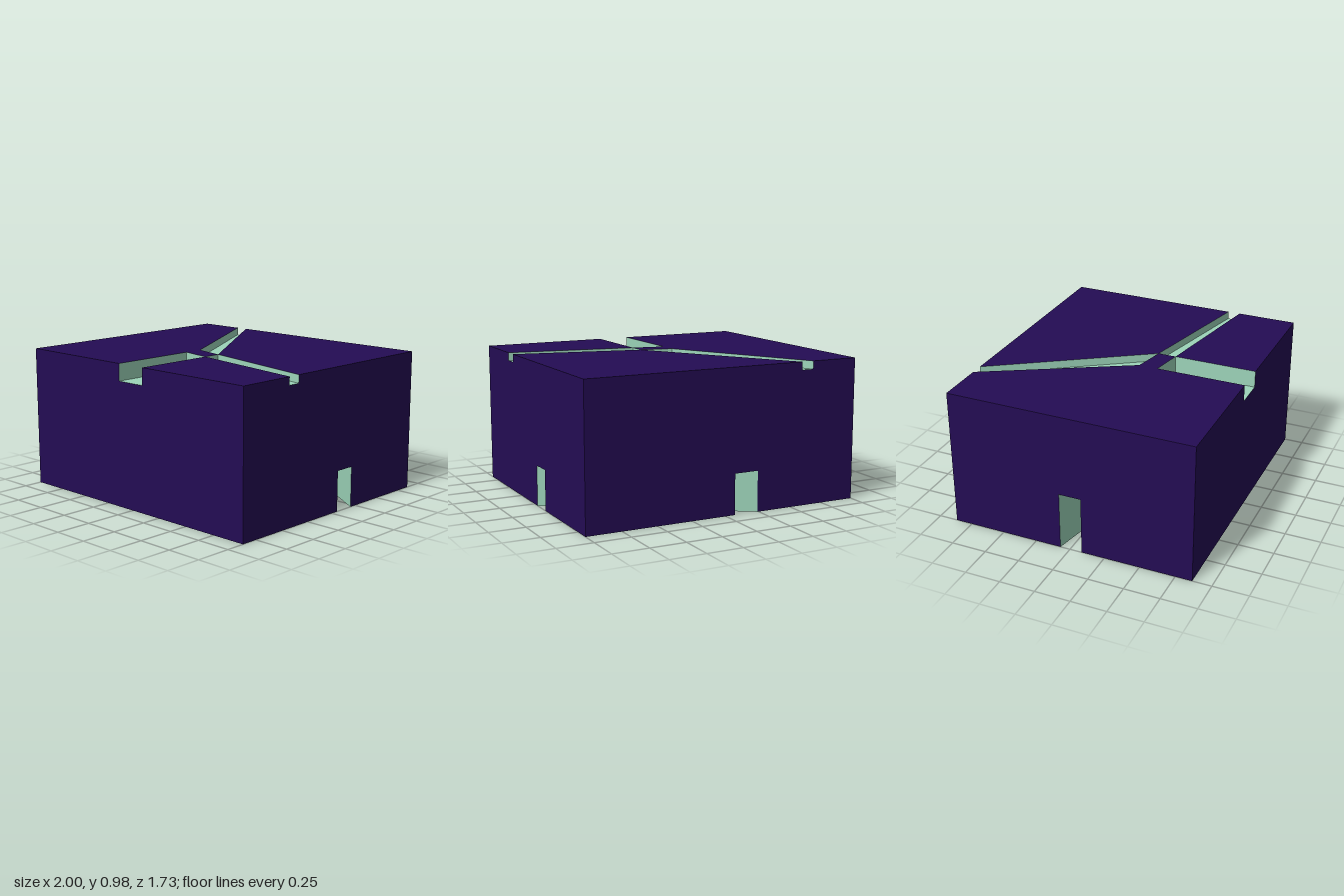
import * as THREE from 'three';

const H = 0.983, D = 0.867; // block height and half depth

const bodyMat = new THREE.MeshStandardMaterial({ color: 0x240c54 });
bodyMat.name = 'deepPurple';
const channelMat = new THREE.MeshStandardMaterial({ color: 0x9dd5ba });
channelMat.name = 'paleGreen';

const flat = (pts) => new THREE.ShapeGeometry(new THREE.Shape(pts.map(([a, b]) => new THREE.Vector2(a, b))));

// Horizontal face from [x, z] corners, looking up or down
function level(pts, y, up) {
  const g = flat(pts.map(([x, z]) => [x, up ? -z : z]));
  return g.rotateX(up ? -Math.PI / 2 : Math.PI / 2).translate(0, y, 0);
}

// Upright face from a to b ([x, z]); its front is on the right of the path a -> b seen from above
function upright([ax, az], [bx, bz], y0, y1) {
  const g = new THREE.BufferGeometry();
  g.setAttribute('position', new THREE.Float32BufferAttribute(
    [ax, y0, az, bx, y0, bz, bx, y1, bz, ax, y1, az], 3));
  g.setIndex([0, 1, 2, 0, 2, 3]);
  g.computeVertexNormals();
  return g;
}

// Side face with rectangular notches: [start, end, y] along the face, cut from top or bottom
function side(half, topCuts, bottomCuts, turn, dist) {
  const pts = [[-half, 0]];
  for (const [a, b, y] of bottomCuts) pts.push([a, 0], [a, y], [b, y], [b, 0]);
  pts.push([half, 0], [half, H]);
  for (const [a, b, y] of topCuts) pts.push([b, H], [b, y], [a, y], [a, H]);
  pts.push([-half, H]);
  return flat(pts).translate(0, 0, dist).rotateY(turn);
}

// Channels: four corners, walls between them, and the level of the closed face
const channels = [
  { name: 'frontTopChannel', y: 0.865, top: true, pts: [[-0.112, D], [-0.112, 0.245], [0.112, 0.288], [0.112, D]] },
  { name: 'rightTopChannel', y: 0.928, top: true, pts: [[1, 0.447], [0.112, 0.288], [0.112, 0.162], [1, 0.36]] },
  { name: 'backTopChannel', y: 0.928, top: true, pts: [[-0.573, -D], [0.112, 0.162], [-0.112, 0.112], [-0.66, -D]] },
  { name: 'leftBottomChannel', y: 0.41, top: false, pts: [[-1, -0.07], [-0.112, 0.112], [-0.112, 0.245], [-1, 0.086]] },
  { name: 'diagonalBottomChannel', y: 0.28, top: false, through: true, pts: [[1, -0.057], [-0.24, -D], [-0.067, -D], [1, -0.203]] },
];

export function createModel() {
  const model = new THREE.Group();
  model.name = 'channelBlock';
  const add = (parent, name, geo, mat) => {
    const m = new THREE.Mesh(geo, mat);
    m.name = name;
    parent.add(m);
  };

  const [front, right, back, left, diag] = channels.map((c) => c.pts);

  // Top faces around the three upper channels
  const block = new THREE.Group();
  block.name = 'block';
  model.add(block);
  add(block, 'topFrontRight', level([front[3], [1, D], right[0], front[2]], H, true), bodyMat);
  add(block, 'topBackRight', level([right[2], right[3], [1, -D], back[0]], H, true), bodyMat);
  add(block, 'topLeft', level([[-1, D], ...front.slice(0, 3), right[2], back[2], back[3], [-1, -D]], H, true), bodyMat);

  // Underside around the two lower channels
  add(block, 'undersideCorner', level([[1, -D], diag[3], diag[2]], 0, false), bodyMat);
  add(block, 'undersideMain', level(
    [diag[0], [1, D], [-1, D], left[3], left[2], left[1], left[0], [-1, -D], diag[1]], 0, false), bodyMat);

  // Notched outer sides
  add(block, 'frontSide', side(1, [[-0.112, 0.112, 0.865]], [], 0, D), bodyMat);
  add(block, 'backSide', side(1, [[0.573, 0.66, 0.928]], [[0.067, 0.24, 0.28]], Math.PI, D), bodyMat);
  add(block, 'rightSide', side(D, [[-0.447, -0.36, 0.928]], [[0.057, 0.203, 0.28]], Math.PI / 2, 1), bodyMat);
  add(block, 'leftSide', side(D, [], [[-0.07, 0.086, 0.41]], -Math.PI / 2, 1), bodyMat);

  // Channel linings
  for (const { name, y, top, through, pts } of channels) {
    const g = new THREE.Group();
    g.name = name;
    model.add(g);
    add(g, top ? 'channelFloor' : 'channelCeiling', level(pts, y, top), channelMat);
    for (let i = 0; i < 3; i++) {
      if (through && i === 1) continue;
      add(g, 'channelWall', upright(pts[i], pts[i + 1], top ? y : 0, top ? H : y), channelMat);
    }
  }
  return model;
}
